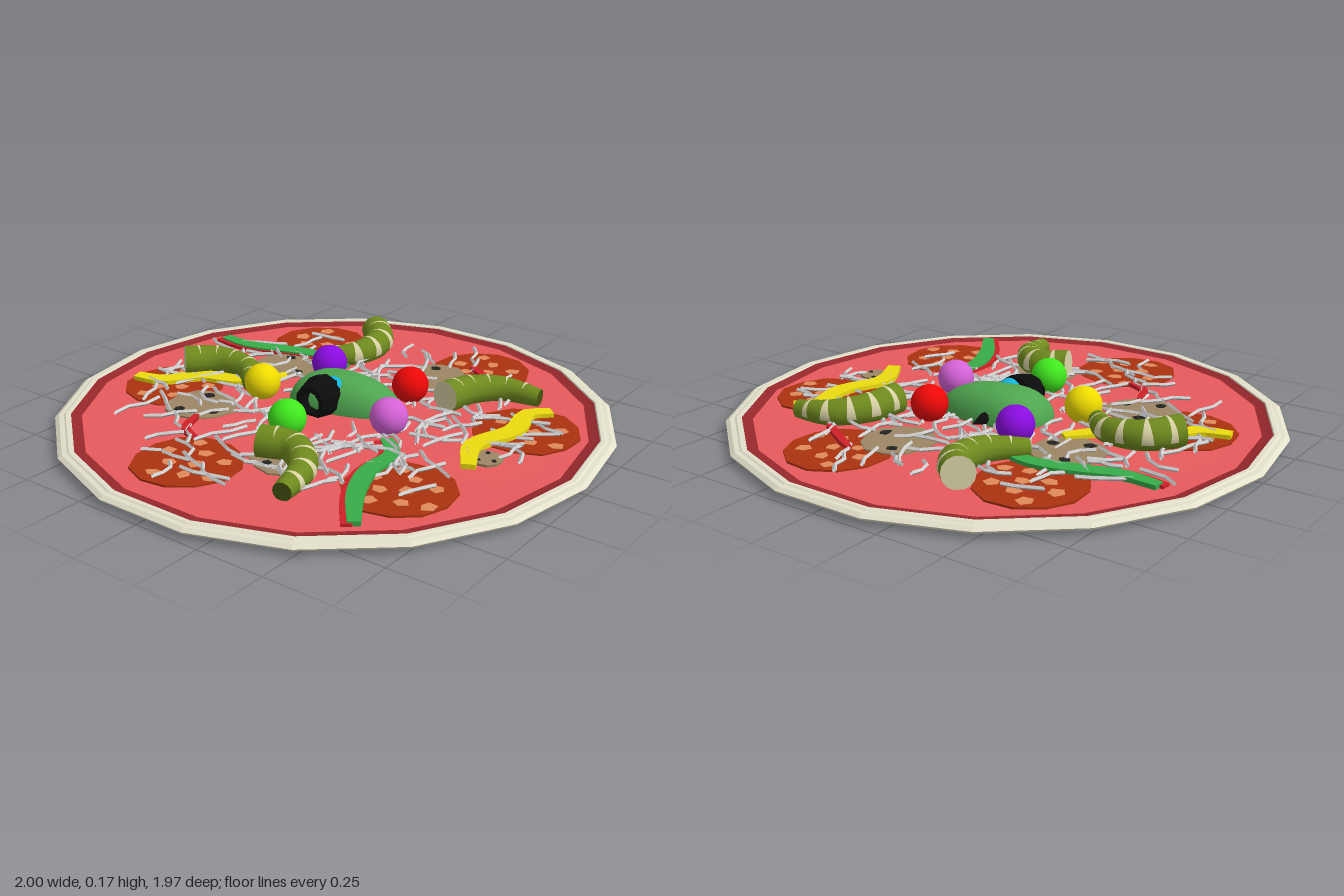
import * as THREE from 'three';
import { ParametricGeometry } from 'three/addons/geometries/ParametricGeometry.js';

const TAU = Math.PI * 2;
const V = (x, y, z) => new THREE.Vector3(x, y, z);
const mat = (color, flatShading = false) =>
  new THREE.MeshStandardMaterial({ color, flatShading, side: THREE.DoubleSide });

function seeded(seed) {
  return () => {
    seed = (seed * 16807) % 2147483647;
    return seed / 2147483647;
  };
}

export function createModel() {
  const model = new THREE.Group();
  const rand = seeded(4242);
  const between = (a, b) => a + (b - a) * rand();

  const M = {
    crust: mat(0xe2dfca, true), sauce: mat(0xe85a5c), edge: mat(0x96282c),
    pepperoni: mat(0xaa3210, true), fat: mat(0xe08a5a, true),
    mushroom: mat(0x9c8664, true), dark: mat(0x222222, true),
    cheese: mat(0xcccccc, true), greenPepper: mat(0x38ac4a, true),
    yellowPepper: mat(0xecdc10, true), redPepper: mat(0xd02028, true),
    pickle: mat(0x6f8a1e), pickleEnd: mat(0xd9d2a6), pickleTip: mat(0x46550f),
    blob: mat(0x4fa650), black: mat(0x0c0c0c, true),
  };

  function add(name, geometry, material, parent = model) {
    const mesh = new THREE.Mesh(geometry, material);
    mesh.name = name;
    parent.add(mesh);
    return mesh;
  }
  function group(name) {
    const g = new THREE.Group();
    g.name = name;
    model.add(g);
    return g;
  }
  // Turned part with the 18 sides of the base
  const turned = (pts) =>
    new THREE.LatheGeometry(pts.map((p) => new THREE.Vector2(...p)), 18, Math.PI / 18);

  // Horizontal slab from an outline of [x, z] points
  function slab(outline, y, height) {
    const shape = new THREE.Shape(outline.map(([x, z]) => new THREE.Vector2(x, -z)));
    return new THREE.ExtrudeGeometry(shape, { depth: height, bevelEnabled: false })
      .rotateX(-Math.PI / 2).translate(0, y, 0);
  }
  function blobOutline(x, z, r, sides, wobble) {
    const turn = rand() * TAU;
    return Array.from({ length: sides }, (_, i) => {
      const a = turn - (i / sides) * TAU, q = r * between(1 - wobble, 1);
      return [x + q * Math.cos(a), z + q * Math.sin(a)];
    });
  }

  // Base: crust with ridged rim, dark inner edge, slightly domed sauce
  add('crust', turned([[0, 0.01], [0.97, 0.01], [0.995, 0.018], [1, 0.026], [0.985, 0.036],
    [0.968, 0.037], [0.962, 0.041], [0.947, 0.041], [0.94, 0.03]]), M.crust);
  add('sauceEdge', turned([[0.943, 0.038], [0.925, 0.032], [0.9, 0.03]]), M.edge);
  add('sauce', turned([[0.905, 0.0305], [0.8, 0.032], [0.6, 0.036], [0.4, 0.0395],
    [0.2, 0.041], [0, 0.042]]), M.sauce);

  // Pepperoni slices go right through the base; fat flecks show on both faces
  const pepperoni = group('pepperoniSlices');
  const slices = [[-132, 0.67], [-70, 0.67], [-21, 0.69], [35, 0.66], [101, 0.65], [163, 0.64], [0, 0]];
  for (const [deg, r] of slices) {
    const a = (deg * Math.PI) / 180, x = r * Math.cos(a), z = r * Math.sin(a);
    add('pepperoni', slab(blobOutline(x, z, 0.195, 12, 0.06), 0.002, r ? 0.0365 : 0.034), M.pepperoni, pepperoni);
    for (let i = 0; i < 9; i++) {
      const b = i * 2.4, d = 0.155 * Math.sqrt((i + 0.4) / 9);
      const fleck = blobOutline(x + d * Math.cos(b), z + d * Math.sin(b), 0.034, 5, 0.4);
      add('fatFleck', slab(fleck, 0.001, r ? 0.0385 : 0.034), M.fat, pepperoni);
    }
  }

  // Mushroom slices with dark flecks
  const mushrooms = group('mushroomSlices');
  for (const [x, z, r] of [[-0.4, -0.21, 0.14], [0.12, -0.46, 0.14], [-0.4, 0.27, 0.14],
    [0.13, 0.43, 0.13], [0.65, 0.03, 0.06]]) {
    add('mushroom', slab(blobOutline(x, z, r, 11, 0.12), 0.03, 0.013), M.mushroom, mushrooms);
    for (let i = 0; i < 3; i++) {
      const b = 2 + i * 2.3;
      const fleck = blobOutline(x + 0.6 * r * Math.cos(b), z + 0.6 * r * Math.sin(b), r * 0.18, 6, 0.4);
      add('darkFleck', slab(fleck, 0.04, 0.005), M.dark, mushrooms);
    }
  }

  // Scattered kinked cheese shreds
  const cheese = group('cheeseShreds');
  for (let i = 0; i < 165; i++) {
    const a = i * 2.39996, r = between(0.24, 0.72);
    let heading = rand() * TAU;
    const p = V(r * Math.cos(a), between(0.043, 0.048), r * Math.sin(a));
    const path = new THREE.CurvePath(), step = between(0.04, 0.07);
    for (let k = 0; k < 3; k++) {
      const from = p.clone();
      heading += between(-0.75, 0.75);
      p.add(V(step * Math.cos(heading), between(-0.003, 0.005), step * Math.sin(heading)));
      if (Math.hypot(p.x, p.z) > 0.87) break;
      path.add(new THREE.LineCurve3(from, p.clone()));
    }
    if (path.curves.length) add('shred', new THREE.TubeGeometry(path, 6, 0.0075, 4), M.cheese, cheese);
  }

  // Curved pepper strips
  const strips = group('pepperStrips');
  function strip(name, pts, width, material, y = 0.036, height = 0.016) {
    const curve = new THREE.CatmullRomCurve3(pts.map(([x, z]) => V(x, 0, z)));
    const left = [], right = [], n = 14;
    for (let i = 0; i <= n; i++) {
      const c = curve.getPointAt(i / n), t = curve.getTangentAt(i / n);
      const w = (width / 2) * (0.65 + 0.35 * Math.sin((i / n) * Math.PI));
      left.push([c.x - t.z * w, c.z + t.x * w]);
      right.unshift([c.x + t.z * w, c.z - t.x * w]);
    }
    add(name, slab([...left, ...right], y, height), material, strips);
  }
  const green1 = [[-0.79, -0.3], [-0.66, -0.29], [-0.5, -0.34], [-0.36, -0.37], [-0.2, -0.33]];
  const green2 = [[0.31, 0.12], [0.39, 0.2], [0.4, 0.35], [0.46, 0.5], [0.57, 0.66]];
  const yellow1 = [[0.65, -0.42], [0.59, -0.36], [0.62, -0.2], [0.57, -0.02], [0.64, 0.13]];
  const yellow2 = [[-0.78, 0.22], [-0.67, 0.19], [-0.58, 0.07], [-0.44, 0.02], [-0.32, -0.12]];
  for (const pts of [green1, green2]) {
    strip('greenStrip', pts, 0.065, M.greenPepper);
    strip('redLining', pts.map(([x, z]) => [x - 0.015, z + 0.018]), 0.055, M.redPepper, 0.036, 0.01);
  }
  for (const pts of [yellow1, yellow2]) strip('yellowStrip', pts, 0.075, M.yellowPepper, 0.036, 0.018);
  strip('redStrip', [[0.2, -0.62], [0.3, -0.56], [0.4, -0.5]], 0.03, M.redPepper);
  strip('redStrip', [[-0.34, 0.36], [-0.3, 0.46], [-0.22, 0.5]], 0.03, M.redPepper);

  // Bent striped pickles: thick cut end to thin dark tip
  function pickle(pts) {
    const g = group('pickle');
    const curve = new THREE.CatmullRomCurve3(
      pts.map(([x, z], i) => V(x, 0.087 - 0.023 * (i / (pts.length - 1)), z)));
    const radius = (t) => 0.057 - 0.024 * t * t;
    const surface = (t, a, swell, out) => {
      const T = curve.getTangentAt(t), S = T.clone().cross(V(0, 1, 0)).normalize();
      const U = S.clone().cross(T), r = radius(t) * swell;
      out.copy(curve.getPointAt(t)).addScaledVector(S, r * Math.cos(a)).addScaledVector(U, r * Math.sin(a));
    };
    add('pickleSkin', new ParametricGeometry((u, v, out) => surface(u, v * TAU, 1, out), 16, 14), M.pickle, g);
    for (let k = 0; k < 5; k++) {
      const t = 0.13 + k * 0.18;
      add('pickleStripe', new ParametricGeometry((u, v, out) =>
        surface(t + (u - 0.5) * 0.065 * (0.06 + v), Math.PI * (0.25 + 0.85 * v), 1.025, out), 2, 10), M.pickleEnd, g);
    }
    for (const [t, dir, m] of [[0, -1, M.pickleEnd], [1, 1, M.pickleTip]]) {
      const cap = add(t ? 'pickleTip' : 'pickleCutEnd', new THREE.CircleGeometry(radius(t), 14), m, g);
      cap.position.copy(curve.getPointAt(t));
      cap.lookAt(cap.position.clone().addScaledVector(curve.getTangentAt(t), dir));
    }
  }
  pickle([[-0.29, -0.66], [-0.21, -0.57], [-0.21, -0.43], [-0.31, -0.31]]);
  pickle([[0.32, -0.23], [0.345, -0.36], [0.43, -0.455], [0.57, -0.475]]);
  pickle([[-0.67, 0.07], [-0.58, -0.03], [-0.45, -0.04], [-0.35, 0.05]]);
  pickle([[0.03, 0.45], [0.14, 0.415], [0.25, 0.5], [0.295, 0.66]]);

  // Coloured balls
  const ball = (name, x, y, z, r, color) =>
    add(name, new THREE.SphereGeometry(r, 20, 14), mat(color)).position.set(x, y, z);
  ball('yellowBall', -0.28, 0.097, 0.07, 0.067, 0xf0dc00);
  ball('purpleBall', -0.2, 0.097, -0.23, 0.067, 0x8a0ce0);
  ball('redBall', 0.17, 0.097, -0.23, 0.067, 0xee0808);
  ball('pinkBall', 0.27, 0.097, 0.05, 0.067, 0xd662d8);
  ball('greenBall', 0, 0.097, 0.27, 0.067, 0x40e81e);
  ball('blueBall', -0.01, 0.112, 0.005, 0.048, 0x14b4dc);

  // Central pepper: broad on the left, tapering to the right
  const lump = new THREE.SphereGeometry(1, 24, 16), pos = lump.attributes.position;
  for (let i = 0; i < pos.count; i++) {
    const soft = (v) => Math.sign(v) * Math.abs(v) ** 0.8;
    const x = soft(pos.getX(i)), taper = 1 - 0.22 * x;
    pos.setXYZ(i, 0.01 + 0.21 * x, 0.04 + 0.112 * Math.max(pos.getY(i), -0.1) * taper ** 0.5,
      -0.06 - 0.02 * x + 0.122 * soft(pos.getZ(i)) * taper);
  }
  lump.computeVertexNormals();
  add('centralPepper', lump, M.blob);

  // Hollow black ring at the front and a small black stalk at the back
  const ring = [[0.04, 0], [0.078, 0], [0.08, 0.04], [0.062, 0.1], [0.042, 0.1], [0.04, 0]];
  add('blackRing', new THREE.LatheGeometry(ring.map((p) => new THREE.Vector2(...p)), 10)
    .rotateX(Math.PI / 2).translate(-0.03, 0.09, 0.01), M.black);
  add('blackStalk', new THREE.ConeGeometry(0.026, 0.09, 8)
    .rotateX(-Math.PI / 2).translate(-0.03, 0.065, -0.205), M.black);

  return model;
}
